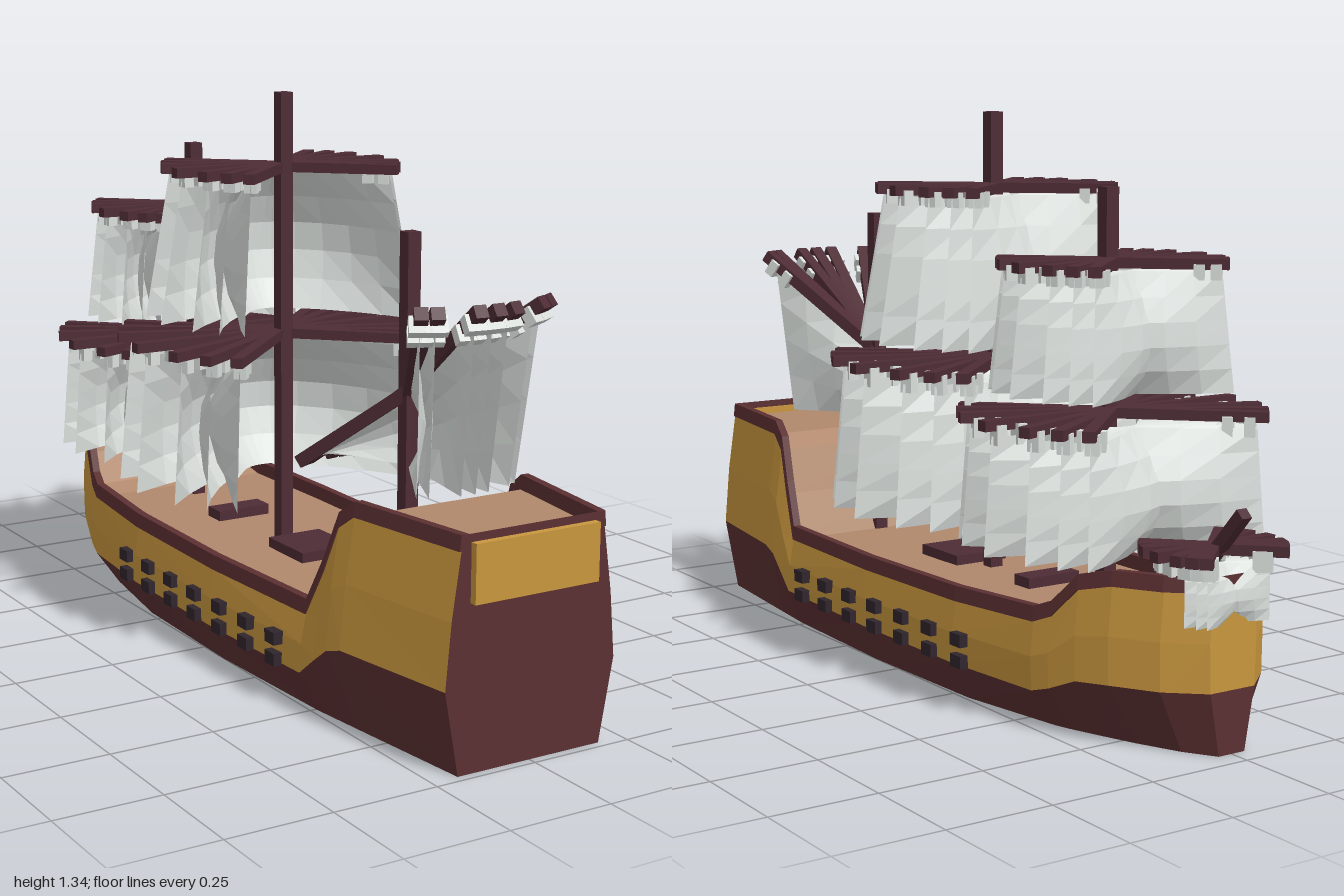
import * as THREE from 'three';

const material = (color, side = THREE.FrontSide) =>
  new THREE.MeshStandardMaterial({ color, flatShading: true, side });
const mats = {
  red: material(0x5c3032, THREE.DoubleSide),
  gold: material(0xc8963e, THREE.DoubleSide),
  deck: material(0xb0886c, THREE.DoubleSide),
  sail: material(0xdbe0dd, THREE.DoubleSide),
  wood: material(0x4e2c35),
  iron: material(0x30262d),
};

// Flat-shaded sheet of cols x rows quads; point(i, j) gives each corner
function sheet(name, mat, cols, rows, point) {
  const pos = [];
  for (let i = 0; i < cols; i++) for (let j = 0; j < rows; j++) {
    const a = point(i, j), b = point(i + 1, j), c = point(i + 1, j + 1), d = point(i, j + 1);
    pos.push(...a, ...b, ...c, ...a, ...c, ...d);
  }
  const g = new THREE.BufferGeometry();
  g.setAttribute('position', new THREE.Float32BufferAttribute(pos, 3));
  g.computeVertexNormals();
  const m = new THREE.Mesh(g, mat);
  m.name = name;
  return m;
}

function box(name, mat, size, at, tilt = 0) {
  const m = new THREE.Mesh(new THREE.BoxGeometry(...size), mat);
  m.name = name;
  m.position.set(...at);
  m.rotation.x = tilt;
  return m;
}

// Hull stations: z, half widths at keel, waterline and rail, then waterline and rail heights
const stations = [
  [0.98, 0.185, 0.22, 0.185, 0.19, 0.52],
  [0.65, 0.22, 0.268, 0.232, 0.19, 0.52],
  [0.6, 0.225, 0.272, 0.24, 0.175, 0.485],
  [0.555, 0.23, 0.276, 0.25, 0.14, 0.375],
  [0.5, 0.235, 0.28, 0.262, 0.095, 0.265],
  [0.1, 0.25, 0.288, 0.278, 0.09, 0.265],
  [-0.3, 0.24, 0.285, 0.276, 0.09, 0.27],
  [-0.58, 0.195, 0.26, 0.255, 0.09, 0.28],
  [-0.63, 0.18, 0.25, 0.243, 0.105, 0.3],
  [-0.7, 0.155, 0.23, 0.222, 0.135, 0.37],
  [-0.78, 0.125, 0.2, 0.192, 0.14, 0.39],
  [-0.88, 0.08, 0.14, 0.132, 0.14, 0.39],
  [-0.95, 0.035, 0.06, 0.055, 0.14, 0.39],
];
const last = stations.length - 1;
const RAIL = 0.035;

// Cross-section bands as [half width, height] points
const bands = [
  ['lowerHull', mats.red, ([, wb, wk, , yk]) => [[wb, 0], [wk, yk]]],
  ['upperHull', mats.gold, ([, , wk, wt, yk, yr]) => [
    [wk, yk], [wk * 0.45 + wt * 0.55 + 0.006, (yk + yr - RAIL) / 2], [wt, yr - RAIL]]],
  ['rail', mats.red, ([, , , wt, , yr]) => [
    [wt, yr - RAIL], [wt + 0.004, yr - RAIL], [wt, yr], [wt - 0.02, yr], [wt - 0.02, yr - RAIL]]],
];

function buildHull() {
  const hull = new THREE.Group();
  hull.name = 'hull';
  for (const [name, mat, section] of bands) {
    const rows = section(stations[0]).length - 1;
    for (const s of [1, -1]) {
      hull.add(sheet(name, mat, last, rows, (i, j) => {
        const [w, y] = section(stations[i])[j];
        return [s * w, y, stations[i][0]];
      }));
    }
    // Transom and blunt bow close the two ends
    for (const [k, part, m] of [[0, 'transom', mats.red], [last, 'bow', mat]]) {
      hull.add(sheet(part, m, 1, rows, (i, j) => {
        const [w, y] = section(stations[k])[j];
        return [(i * 2 - 1) * w, y, stations[k][0]];
      }));
    }
  }
  hull.add(sheet('deck', mats.deck, last, 1, (i, j) => {
    const [z, , , wt, , yr] = stations[i];
    return [(j * 2 - 1) * (wt - 0.003), yr - RAIL, z];
  }));
  hull.add(box('sternPanel', mats.gold, [0.32, 0.13, 0.025], [0, 0.437, 0.985]));
  hull.add(box('mainHatch', mats.wood, [0.145, 0.04, 0.16], [0, 0.235, 0.09]));
  hull.add(box('foreHatch', mats.wood, [0.145, 0.04, 0.06], [0, 0.24, -0.27]));
  // Two rows of guns on each side
  for (let i = 0; i < 7; i++) for (const y of [0.105, 0.155]) for (const s of [1, -1]) {
    const z = 0.405 - i * 0.1235;
    hull.add(box('gun', mats.iron, [0.04, 0.03, 0.042], [s * (0.286 - Math.abs(z - 0.05) * 0.01), y, z]));
  }
  return hull;
}

// Square sail hung under its yard, bellying towards the bow
function squareSail({ half, top, bottom, drop, gap, belly }) {
  const g = new THREE.Group();
  g.name = 'yardAndSail';
  g.add(box('yard', mats.wood, [half * 2, 0.024, 0.028], [0, 0, 0]));
  const cols = 8, rows = 5;
  const surface = (u, v) => [
    u * (top + (bottom - top) * v),
    -gap - v * (drop - gap),
    -belly * (1 - u * u) * Math.sin(Math.PI * (0.12 + 0.7 * v)),
  ];
  g.add(sheet('sail', mats.sail, cols, rows, (i, j) => surface(i / cols * 2 - 1, j / rows)));
  for (const u of [-0.95, -0.8, 0.8, 0.95]) {
    const [x, y, z] = surface(u, 0);
    g.add(box('sailTie', mats.sail, [0.024, gap + 0.02, 0.03], [x, y / 2 - 0.01, z / 2]));
  }
  return g;
}

// Fore-and-aft sail under a sloping gaff, centred on the mast
function gaffSail() {
  const g = new THREE.Group();
  g.name = 'gaffAndSail';
  const slope = Math.atan2(0.43, 0.61);
  g.add(box('gaff', mats.wood, [0.03, 0.03, 0.75], [0, 0.02, 0.03], -slope));
  const cols = 6, rows = 4;
  g.add(sheet('gaffSail', mats.sail, cols, rows, (i, j) => {
    const u = i / cols, v = j / rows;
    const zTop = -0.24 + 0.55 * u, yTop = zTop * 0.705 - 0.015;
    const zLow = -0.2 + 0.46 * u, yLow = -0.165 - 0.015 * u;
    return [0.035 * Math.sin(Math.PI * u) * Math.sin(Math.PI * v),
      yTop + (yLow - yTop) * v, zTop + (zLow - zTop) * v];
  }));
  for (const z of [0.31, 0.27])
    g.add(box('sailTie', mats.sail, [0.05, 0.04, 0.025], [0, z * 0.705 - 0.015, z], -slope));
  return g;
}

// Copies of one sail turned about its mast
function fan(name, make, angles, y, z) {
  const g = new THREE.Group();
  g.name = name;
  g.position.set(0, y, z);
  for (const a of angles) for (const s of a ? [1, -1] : [1]) {
    const part = make();
    part.rotation.y = s * a * Math.PI / 180;
    g.add(part);
  }
  return g;
}

export function createModel() {
  const ship = new THREE.Group();
  ship.name = 'sailingShip';
  ship.add(buildHull());

  // Masts and bowsprit
  for (const [name, z, top] of [['sternMast', 0.51, 1.07], ['mainMast', -0.04, 1.34], ['foreMast', -0.5, 1.18]])
    ship.add(box(name, mats.wood, [0.034, top - 0.1, 0.034], [0, (top + 0.1) / 2, z]));
  ship.add(box('bowsprit', mats.wood, [0.026, 0.026, 0.2], [0, 0.45, -0.91], 0.83));

  // Square sails
  const turns = [0, 21, 34, 45];
  const rigs = [
    ['mainLowerSails', 0.752, -0.055, { half: 0.4, top: 0.37, bottom: 0.4, drop: 0.355, gap: 0.025, belly: 0.17 }],
    ['mainUpperSails', 1.16, -0.055, { half: 0.29, top: 0.27, bottom: 0.33, drop: 0.36, gap: 0.015, belly: 0.14 }],
    ['foreLowerSails', 0.677, -0.52, { half: 0.35, top: 0.325, bottom: 0.345, drop: 0.29, gap: 0.025, belly: 0.15 }],
    ['foreUpperSails', 1.013, -0.515, { half: 0.26, top: 0.245, bottom: 0.275, drop: 0.285, gap: 0.015, belly: 0.12 }],
    ['bowSails', 0.433, -0.88, { half: 0.16, top: 0.12, bottom: 0.12, drop: 0.15, gap: 0.025, belly: 0.07 }],
  ];
  for (const [name, y, z, size] of rigs)
    ship.add(fan(name, () => squareSail(size), turns, y, z));

  ship.add(fan('sternSails', gaffSail, [0, 8, 24, 30], 0.71, 0.51));
  return ship;
}
